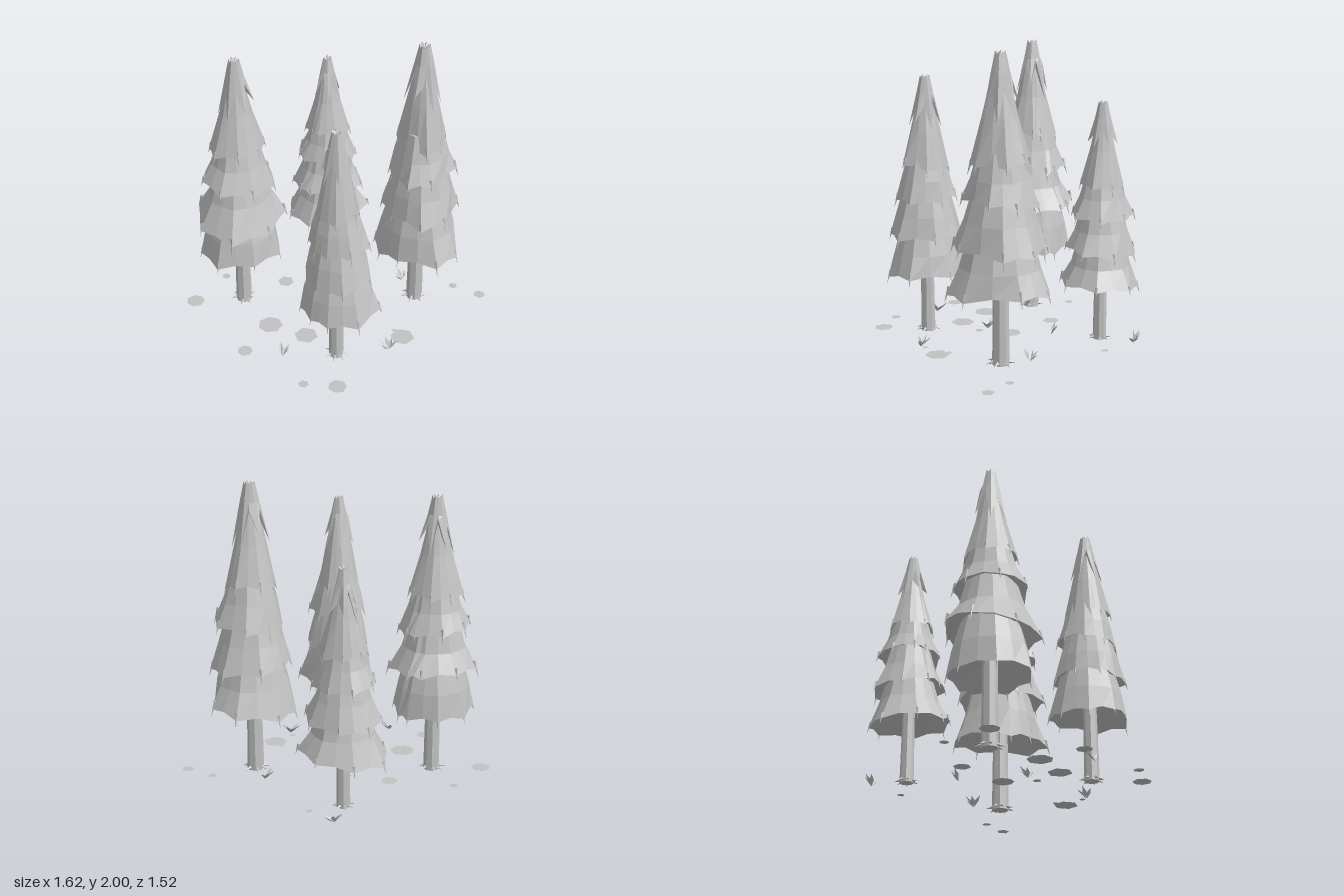
import * as THREE from 'three';

const grey = new THREE.MeshStandardMaterial({ color: 0xc2c2c2, flatShading: true });
grey.name = 'pale grey';
const greyThin = grey.clone();
greyThin.name = 'pale grey thin';
greyThin.side = THREE.DoubleSide;

let seed = 11;
const rand = () => {
  seed = (seed * 16807) % 2147483647;
  return seed / 2147483647;
};
const jitter = (amount) => (rand() * 2 - 1) * amount;

function addMesh(parent, name, geometry, material = grey) {
  const mesh = new THREE.Mesh(geometry, material);
  mesh.name = name;
  parent.add(mesh);
  return mesh;
}

// Faceted skin through closed rings, listed from the first to the last
function loft(rings) {
  const pos = [];
  const put = (...points) => points.forEach((p) => pos.push(p.x, p.y, p.z));
  for (let k = 0; k < rings.length - 1; k++) {
    const low = rings[k], high = rings[k + 1];
    for (let i = 0; i < low.length; i++) {
      const j = (i + 1) % low.length;
      put(low[i], high[i], low[j], low[j], high[i], high[j]);
    }
  }
  const geometry = new THREE.BufferGeometry();
  geometry.setAttribute('position', new THREE.Float32BufferAttribute(pos, 3));
  geometry.computeVertexNormals();
  return geometry;
}

const polar = (a, r, y) => new THREE.Vector3(Math.cos(a) * r, y, Math.sin(a) * r);

// Skirts of branches: rim height and upper [height, radius] rings, for a tree 2 high
const TIERS = [
  { y: 0.475, up: [[0.66, 0.25], [0.86, 0.195], [0.9, 0.03]] },
  { y: 0.775, up: [[0.95, 0.222], [1.15, 0.165], [1.2, 0.03]] },
  { y: 1.06, up: [[1.22, 0.185], [1.4, 0.135], [1.45, 0.03]] },
  { y: 1.31, up: [[1.6, 0.108], [1.8, 0.063], [1.985, 0.03], [1.965, 0.001]] },
];

// Twig drooping outward from a rim corner
function addTwig(tree, corner, length) {
  const twig = new THREE.ConeGeometry(0.011, length, 4);
  twig.rotateX(Math.PI);
  twig.rotateZ(0.28);
  twig.translate(corner.r - 0.006, corner.y, 0);
  twig.rotateY(-corner.a);
  addMesh(tree, 'twig', twig);
}

// outline: rim corners as { a, r }; ratio: rim size against the outline
function addTier(tree, tier, outline, ratio, turn) {
  const tiltX = jitter(0.12), tiltZ = jitter(0.12);
  const mean = outline.reduce((sum, c) => sum + c.r, 0) / outline.length;
  const corners = outline.map((c) => {
    const a = c.a + turn, r = c.r * ratio;
    const y = tier.y + r * (tiltX * Math.cos(a) + tiltZ * Math.sin(a)) + jitter(0.015);
    return { a, r, y, swell: Math.sqrt(c.r / mean) };
  });
  // Rim runs from corner to corner, a little raised between them
  const rim = [], directions = [];
  corners.forEach((c, i) => {
    const next = corners[(i + 1) % corners.length];
    const here = polar(c.a, c.r, c.y), there = polar(next.a, next.r, next.y);
    const middle = here.clone().add(there).multiplyScalar(0.5);
    directions.push([c.a, c.swell], [Math.atan2(middle.z, middle.x), (c.swell + next.swell) * 0.48]);
    middle.y += 0.022;
    rim.push(here, middle);
  });
  const ring = (y, r) => directions.map(([a, swell]) => polar(a, r * swell, y));
  addMesh(tree, 'branchTier', loft([ring(tier.y + 0.13, 0.04), rim, ...tier.up.map(([y, r]) => ring(y, r))]));
  corners.forEach((c) => addTwig(tree, c, 0.085 + rand() * 0.04));
}

// Crown of long pointed leaves around the tip
function addCrown(tree) {
  const turn = rand() * 6, n = 12;
  const star = (radius, height) => Array.from({ length: n }, (_, i) =>
    polar(turn + (i / n) * Math.PI * 2, radius(i % 2), height(i % 2)));
  const drop = Array.from({ length: n }, () => jitter(0.06));
  const points = star((odd) => (odd ? 0.074 : 0.122), (odd) => (odd ? 1.79 : 1.62));
  points.forEach((p, i) => { p.y += drop[i]; });
  addMesh(tree, 'crown', loft([
    star(() => 0.05, () => 1.8), points,
    star((odd) => (odd ? 0.056 : 0.062), () => 1.87),
    star(() => 0.034, (odd) => (odd ? 1.98 : 2)),
    star(() => 0.001, () => 1.97),
  ]));
}

function makeTree({ name, x, z, height, ratios, turns, rim }) {
  const tree = new THREE.Group();
  tree.name = name;
  const k = height / 2;
  const trunk = new THREE.CylinderGeometry(0.047, 0.056, 0.72, 8);
  trunk.translate(0, 0.37, 0);
  addMesh(tree, 'trunk', trunk);
  // Roots splaying from the foot of the trunk
  for (let i = 0; i < 7; i++) {
    const root = new THREE.ConeGeometry(0.022, 0.085, 4);
    root.rotateZ(-Math.PI / 2 - 0.3);
    root.translate(0.057, 0.028, 0);
    root.rotateY((i / 7) * Math.PI * 2 + jitter(0.2));
    addMesh(tree, 'root', root);
  }
  const outline = rim.map(([px, pz]) => ({
    a: Math.atan2(pz - z, px - x), r: (Math.hypot(px - x, pz - z) / k) * 0.98,
  }));
  TIERS.forEach((tier, i) => addTier(tree, tier, outline, ratios[i], turns[i]));
  addCrown(tree);
  tree.scale.setScalar(k);
  tree.position.set(x, 0, z);
  return tree;
}

// Trees, each with the [x, z] corners of its widest skirt
const TREES = [
  {
    name: 'backLeftTree', x: -0.38, z: -0.465, height: 1.91, ratios: [0.9, 1, 0.8, 0.6], turns: [0.4, 0, 0.3, 0.7],
    rim: [[-0.693, -0.53], [-0.507, -0.739], [-0.28, -0.752], [-0.107, -0.587], [-0.072, -0.5], [-0.15, -0.252], [-0.393, -0.17], [-0.654, -0.27]],
  },
  {
    name: 'backRightTree', x: 0.435, z: -0.425, height: 1.61, ratios: [1, 0.88, 0.74, 0.55], turns: [0, 0.4, 0.8, 0.3],
    rim: [[0.354, -0.717], [0.567, -0.652], [0.715, -0.448], [0.65, -0.213], [0.398, -0.152], [0.206, -0.26], [0.16, -0.357], [0.18, -0.557]],
  },
  {
    name: 'frontLeftTree', x: -0.38, z: 0.405, height: 1.75, ratios: [1, 0.9, 0.76, 0.58], turns: [0, 0.4, 0.1, 0.6],
    rim: [[-0.615, 0.39], [-0.54, 0.226], [-0.376, 0.139], [-0.2, 0.196], [-0.12, 0.383], [-0.215, 0.652], [-0.454, 0.674], [-0.593, 0.522]],
  },
  {
    name: 'frontRightTree', x: 0.445, z: 0.39, height: 2, ratios: [1, 0.9, 0.77, 0.57], turns: [0, 0.35, 0.7, 0.2],
    rim: [[0.198, 0.257], [0.306, 0.122], [0.515, 0.065], [0.754, 0.23], [0.763, 0.457], [0.489, 0.713], [0.285, 0.704], [0.189, 0.435]],
  },
];

// Tuft of pointed blades, each folded along its middle
function makeTuft(x, z, blades, start) {
  const tuft = new THREE.Group();
  tuft.name = 'grassTuft';
  for (let i = 0; i < blades; i++) {
    const h = 0.05 + rand() * 0.022, out = 0.05 + rand() * 0.025;
    const base = [0.004, 0, 0], tip = [out, h, 0], fold = [out * 0.5, h * 0.42, 0];
    const left = [out * 0.45, h * 0.55, 0.014], right = [out * 0.45, h * 0.55, -0.014];
    const geometry = new THREE.BufferGeometry();
    const points = [base, fold, left, fold, tip, left, base, right, fold, fold, right, tip].flat();
    geometry.setAttribute('position', new THREE.Float32BufferAttribute(points, 3));
    geometry.computeVertexNormals();
    geometry.rotateY(start + i * 0.85);
    addMesh(tuft, 'grassBlade', geometry, greyThin);
  }
  tuft.position.set(x, 0.012, z);
  return tuft;
}

export function createModel() {
  const model = new THREE.Group();
  model.name = 'pineGrove';
  TREES.forEach((tree) => model.add(makeTree(tree)));

  // Flat stones: x, z, radius, sides
  [
    [-0.63, -0.695, 0.063, 7], [-0.045, -0.385, 0.056, 6], [-0.46, -0.13, 0.083, 7],
    [-0.765, -0.065, 0.052, 7], [-0.01, -0.013, 0.072, 8], [-0.375, 0.125, 0.08, 6],
    [-0.17, 0.13, 0.028, 6], [-0.737, 0.444, 0.035, 6], [-0.605, 0.622, 0.062, 7],
    [-0.105, 0.605, 0.02, 6], [0.053, 0.613, 0.081, 6], [0.067, 0.53, 0.018, 6],
    [0.768, 0.717, 0.043, 5], [-0.29, -0.74, 0.03, 6], [0.72, 0.52, 0.03, 6], [0.63, -0.31, 0.025, 6],
  ].forEach(([x, z, r, sides]) => {
    const stone = new THREE.CircleGeometry(r, sides);
    stone.rotateX(-Math.PI / 2);
    addMesh(model, 'stone', stone, greyThin).position.set(x, 0.002, z);
  });

  // Grass: x, z, blades, direction of the first blade
  [
    [0.195, -0.2, 3, 0.2], [-0.15, 0.075, 5, -1.2], [-0.65, 0.16, 3, -0.9],
    [-0.115, 0.635, 5, -0.6], [0.64, -0.54, 5, -1], [0.52, 0.22, 4, 0.5],
  ].forEach((g) => model.add(makeTuft(...g)));

  return model;
}
